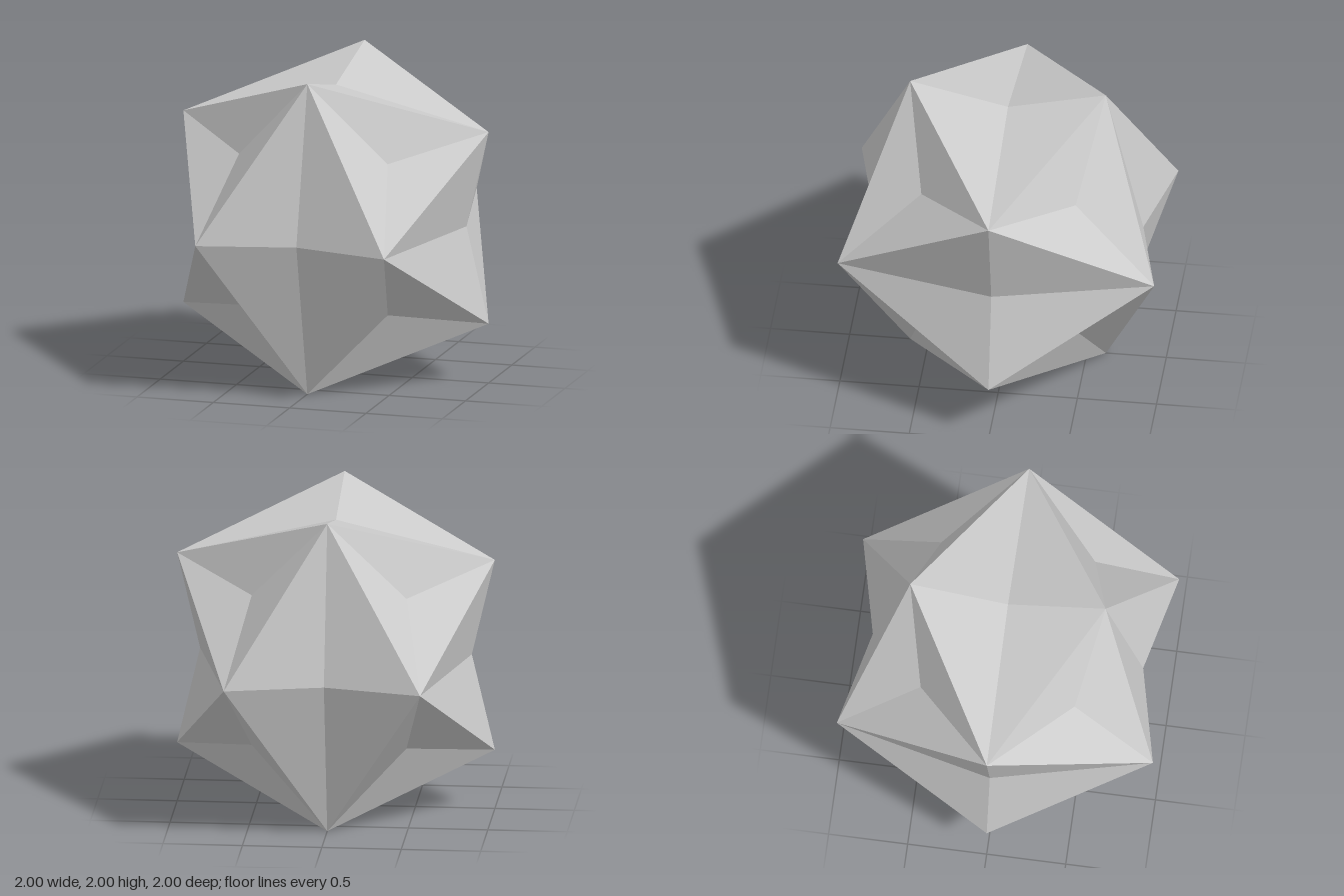
import * as THREE from 'three';

const SHORT = 0.618; // golden-ratio offset of the outer corners
const SADDLE = 0.855; // distance of each saddle centre along its axis
const DENT = 0.487; // coordinate of each three-sided dent

// Fan of triangles from a centre point to a closed ring, wound to face outward
function addFan(out, centre, ring) {
  ring.forEach((a, i) => {
    const b = ring[(i + 1) % ring.length];
    const normal = b.clone().sub(a).cross(centre.clone().sub(a));
    const mid = a.clone().add(b).add(centre);
    const tri = normal.dot(mid) > 0 ? [a, b, centre] : [b, a, centre];
    tri.forEach((p) => out.push(p.x, p.y, p.z));
  });
}

// Vector rotated cyclically through the axes k times
function cyc(x, y, z, k) {
  const c = [x, y, z];
  return new THREE.Vector3(c[(3 - k) % 3], c[(4 - k) % 3], c[(5 - k) % 3]);
}

function makeMesh(name, positions) {
  const geometry = new THREE.BufferGeometry();
  geometry.setAttribute('position', new THREE.Float32BufferAttribute(positions, 3));
  geometry.computeVertexNormals();
  const mesh = new THREE.Mesh(
    geometry,
    new THREE.MeshStandardMaterial({ color: 0xcccccc, flatShading: true })
  );
  mesh.name = name;
  return mesh;
}

export function createModel() {
  const group = new THREE.Group();
  group.name = 'dentedIcosahedron';
  const signs = [1, -1];

  // One three-sided dent in each octant
  const dents = [];
  for (const sx of signs) for (const sy of signs) for (const sz of signs) {
    addFan(dents, new THREE.Vector3(sx, sy, sz).multiplyScalar(DENT), [
      new THREE.Vector3(0, sy, sz * SHORT),
      new THREE.Vector3(sx, sy * SHORT, 0),
      new THREE.Vector3(sx * SHORT, 0, sz),
    ]);
  }
  group.add(makeMesh('triangularDents', dents));

  // One four-sided saddle on each end of every axis
  const saddles = [];
  for (let k = 0; k < 3; k++) for (const s of signs) {
    addFan(saddles, cyc(s * SADDLE, 0, 0, k), [
      cyc(s, SHORT, 0, k),
      cyc(s * SHORT, 0, 1, k),
      cyc(s, -SHORT, 0, k),
      cyc(s * SHORT, 0, -1, k),
    ]);
  }
  group.add(makeMesh('saddleFaces', saddles));

  // Stand the solid on the ground
  group.children.forEach((mesh) => { mesh.position.y = 1; });
  return group;
}
